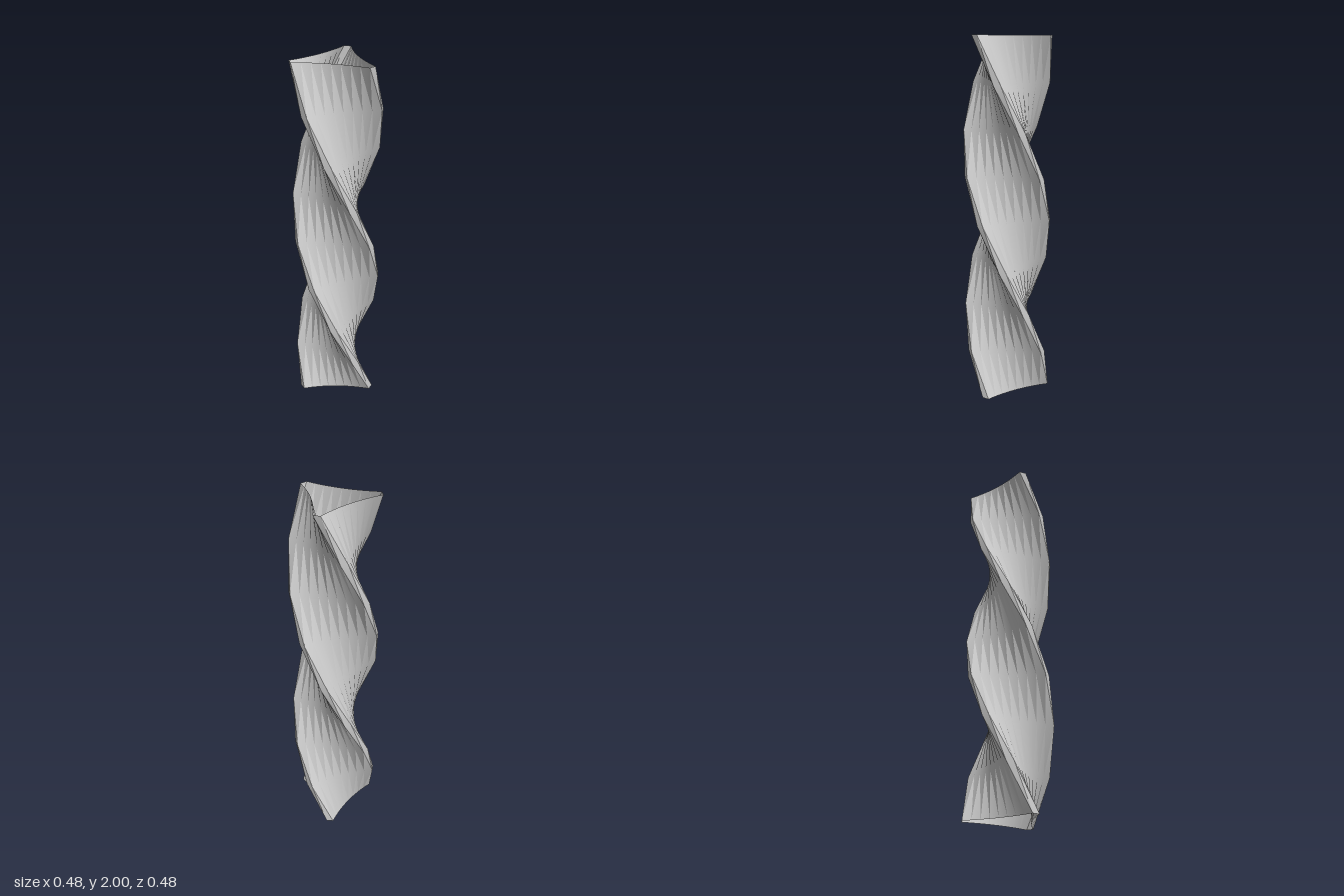
import * as THREE from 'three';
import { toCreasedNormals } from 'three/addons/utils/BufferGeometryUtils.js';

const HEIGHT = 2;
const LEVELS = 8;
const COLUMNS = 8;
const RADIUS = 0.24;
const HALF_FLAT = THREE.MathUtils.degToRad(4.7); // half angle of each blunt corner
const TWIST = THREE.MathUtils.degToRad(253.5);
const SAG = 0.024; // how far each side dips inward

const polar = (angle, r) => new THREE.Vector2(Math.cos(angle) * r, Math.sin(angle) * r);

// Triangle with blunt corners and slightly hollow sides, in x and z
function crossSection() {
  const points = [];
  for (let side = 0; side < 3; side++) {
    const start = side * Math.PI * 2 / 3;
    const a = polar(start + HALF_FLAT, RADIUS);
    const b = polar(start + Math.PI * 2 / 3 - HALF_FLAT, RADIUS);
    const outward = polar(start + Math.PI / 3, 1);
    for (let i = 0; i <= COLUMNS; i++) {
      const t = i / COLUMNS;
      points.push(a.clone().lerp(b, t).addScaledVector(outward, -SAG * 4 * t * (1 - t)));
    }
  }
  return points;
}

// Open tube: the section is turned a step further at each level
function twistedTube() {
  const section = crossSection();
  const n = section.length;
  const positions = [];
  const indices = [];
  const origin = new THREE.Vector2();
  for (let level = 0; level <= LEVELS; level++) {
    const t = level / LEVELS;
    for (const p of section) {
      const q = p.clone().rotateAround(origin, TWIST * (t - 1));
      positions.push(q.x, HEIGHT * t, q.y);
    }
  }
  for (let level = 0; level < LEVELS; level++) {
    for (let i = 0; i < n; i++) {
      const a = level * n + i;
      const b = level * n + (i + 1) % n;
      indices.push(a, a + n, b, b, a + n, b + n);
    }
  }
  const geometry = new THREE.BufferGeometry();
  geometry.setAttribute('position', new THREE.Float32BufferAttribute(positions, 3));
  geometry.setIndex(indices);
  return toCreasedNormals(geometry, THREE.MathUtils.degToRad(22));
}

export function createModel() {
  const group = new THREE.Group();
  group.name = 'twistedColumn';
  const material = new THREE.MeshStandardMaterial({ color: 0xcccccc, side: THREE.DoubleSide });
  const shell = new THREE.Mesh(twistedTube(), material);
  shell.name = 'twistedShell';
  group.add(shell);
  return group;
}
